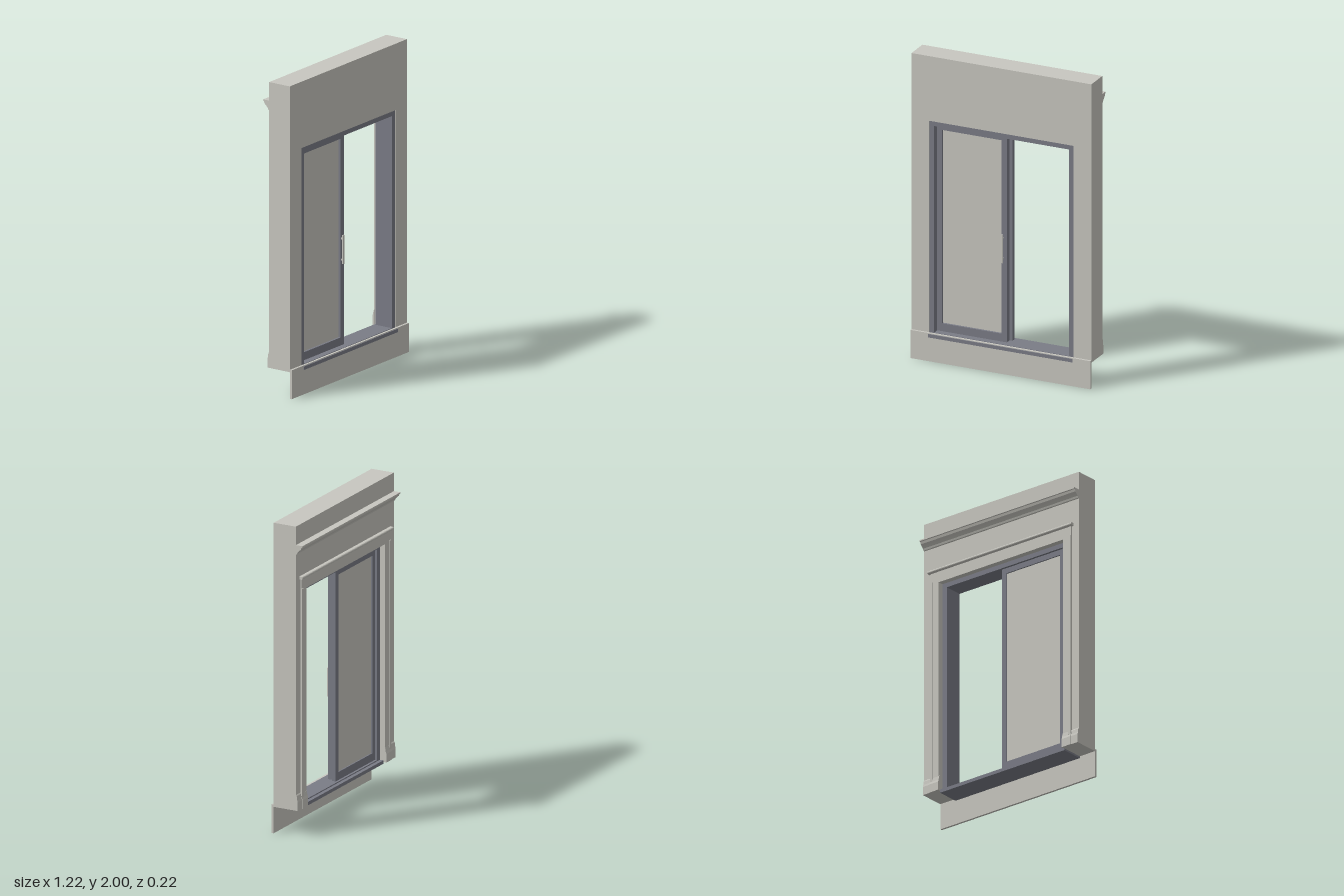
import * as THREE from 'three';

export function createModel() {
  const model = new THREE.Group();
  model.name = 'slidingWindowWall';
  const plaster = new THREE.MeshStandardMaterial({ color: 0xc8c7c0 });
  plaster.name = 'warm grey';
  const metal = new THREE.MeshStandardMaterial({ color: 0x7a7c86 });
  metal.name = 'slate frame';

  const add = (name, geometry, material, parent = model) => {
    const mesh = new THREE.Mesh(geometry, material);
    mesh.name = name;
    parent.add(mesh);
    return mesh;
  };
  // Box given by its limits on each axis
  const box = (name, [x0, x1], [y0, y1], [z0, z1], material, parent) => {
    const g = new THREE.BoxGeometry(x1 - x0, y1 - y0, z1 - z0);
    g.translate((x0 + x1) / 2, (y0 + y1) / 2, (z0 + z1) / 2);
    return add(name, g, material, parent);
  };
  // Moulding: profile of [depth towards the back, height], run along x
  const moulding = (name, points, [x0, x1], material, parent) => {
    const shape = new THREE.Shape(points.map(([d, y]) => new THREE.Vector2(d, y)));
    const g = new THREE.ExtrudeGeometry(shape, { depth: x1 - x0, bevelEnabled: false });
    g.rotateY(Math.PI / 2).translate(x0, 0, 0);
    return add(name, g, material, parent);
  };
  const rect = (Type, x0, x1, y0, y1) => new Type([
    new THREE.Vector2(x0, y0), new THREE.Vector2(x1, y0),
    new THREE.Vector2(x1, y1), new THREE.Vector2(x0, y1),
  ]);
  // Rectangular border with a hole
  const border = (name, o, i, [z0, z1], material, parent) => {
    const shape = rect(THREE.Shape, ...o);
    shape.holes.push(rect(THREE.Path, ...i));
    const g = new THREE.ExtrudeGeometry(shape, { depth: z1 - z0, bevelEnabled: false });
    g.translate(0, 0, z0);
    return add(name, g, material, parent);
  };

  const BACK = -0.066, FRONT = 0.09;

  // Wall: two piers and the lintel as one outline
  const wall = new THREE.Shape([
    [-0.61, 0.17], [-0.49, 0.17], [-0.49, 1.575], [0.49, 1.575],
    [0.49, 0.17], [0.61, 0.17], [0.61, 2], [-0.61, 2],
  ].map(([x, y]) => new THREE.Vector2(x, y)));
  const wallGeometry = new THREE.ExtrudeGeometry(wall, { depth: FRONT - BACK, bevelEnabled: false });
  add('wall', wallGeometry.translate(0, 0, BACK), plaster);

  // Apron board and sill
  box('apron', [-0.61, 0.61], [0, 0.185], [FRONT, 0.105], plaster);
  box('sill', [-0.49, 0.49], [0.158, 0.18], [-0.06, 0.11], metal);

  // Fixed outer frame
  const frame = new THREE.Group();
  frame.name = 'windowFrame';
  model.add(frame);
  for (const s of [-1, 1]) {
    const a = s * 0.49, b = s * 0.457;
    box('jamb', [Math.min(a, b), Math.max(a, b)], [0.18, 1.575], [-0.035, 0.088], metal, frame);
  }
  box('headJamb', [-0.457, 0.457], [1.545, 1.575], [-0.035, 0.088], metal, frame);
  box('track', [-0.457, 0.457], [0.18, 0.187], [-0.035, 0.088], metal, frame);

  // Two sashes, both standing on the right half
  const sash = (name, right, stile, [z0, z1]) => {
    const group = new THREE.Group();
    group.name = name;
    model.add(group);
    border(name + 'Rails', [-0.457, right, 0.187, 1.545], [-0.423, right - stile, 0.238, 1.51], [z0, z1], metal, group);
    const mid = (z0 + z1) / 2;
    box(name + 'Pane', [-0.423, right - stile], [0.238, 1.51], [mid - 0.004, mid + 0.004], plaster, group);
    return group;
  };
  const slider = sash('slidingSash', 0.015, 0.035, [0.008, 0.045]);
  sash('fixedSash', 0.035, 0.035, [-0.02, 0.006]);

  // Pull handle on the sliding sash
  box('handleBar', [-0.018, -0.006], [0.71, 0.895], [0.055, 0.064], plaster, slider);
  for (const y of [0.73, 0.865]) box('handlePost', [-0.016, -0.008], [y, y + 0.01], [0.044, 0.056], plaster, slider);

  // Back trim: crown moulding
  const b = -BACK;
  moulding('crownMoulding', [
    [b, 1.82], [b + 0.007, 1.823], [b + 0.012, 1.834], [b + 0.022, 1.845],
    [b + 0.034, 1.856], [b + 0.04, 1.87], [b + 0.046, 1.873], [b + 0.046, 1.881], [b, 1.881],
  ], [-0.61, 0.61], plaster);

  // Head casing and its rounded cap
  box('headCasing', [-0.555, 0.555], [1.575, 1.647], [BACK - 0.007, BACK], plaster);
  const cap = [[b, 1.647]];
  for (let i = 0; i <= 6; i++) {
    const t = -Math.PI / 2 + (i / 6) * Math.PI;
    cap.push([b + 0.015 + 0.009 * Math.cos(t), 1.657 + 0.009 * Math.sin(t)]);
  }
  cap.push([b, 1.667]);
  moulding('headCap', cap, [-0.568, 0.568], plaster);

  // Side casings, plinth blocks and baseboard ends, mirrored
  const baseProfile = (d) => [
    [b, 0.17], [b + d, 0.17], [b + d, 0.225], [b + d * 0.7, 0.24], [b + d * 0.45, 0.265], [b, 0.272],
  ];
  for (const s of [-1, 1]) {
    const span = (p, q) => (s > 0 ? [p, q] : [-q, -p]);
    box('sideCasing', span(0.49, 0.535), [0.24, 1.575], [BACK - 0.007, BACK], plaster);
    box('casingBand', span(0.535, 0.555), [0.24, 1.585], [BACK - 0.013, BACK], plaster);
    moulding('plinthBlock', baseProfile(0.017), span(0.487, 0.557), plaster);
    moulding('baseboard', baseProfile(0.013), span(0.557, 0.61), plaster);
  }
  return model;
}
